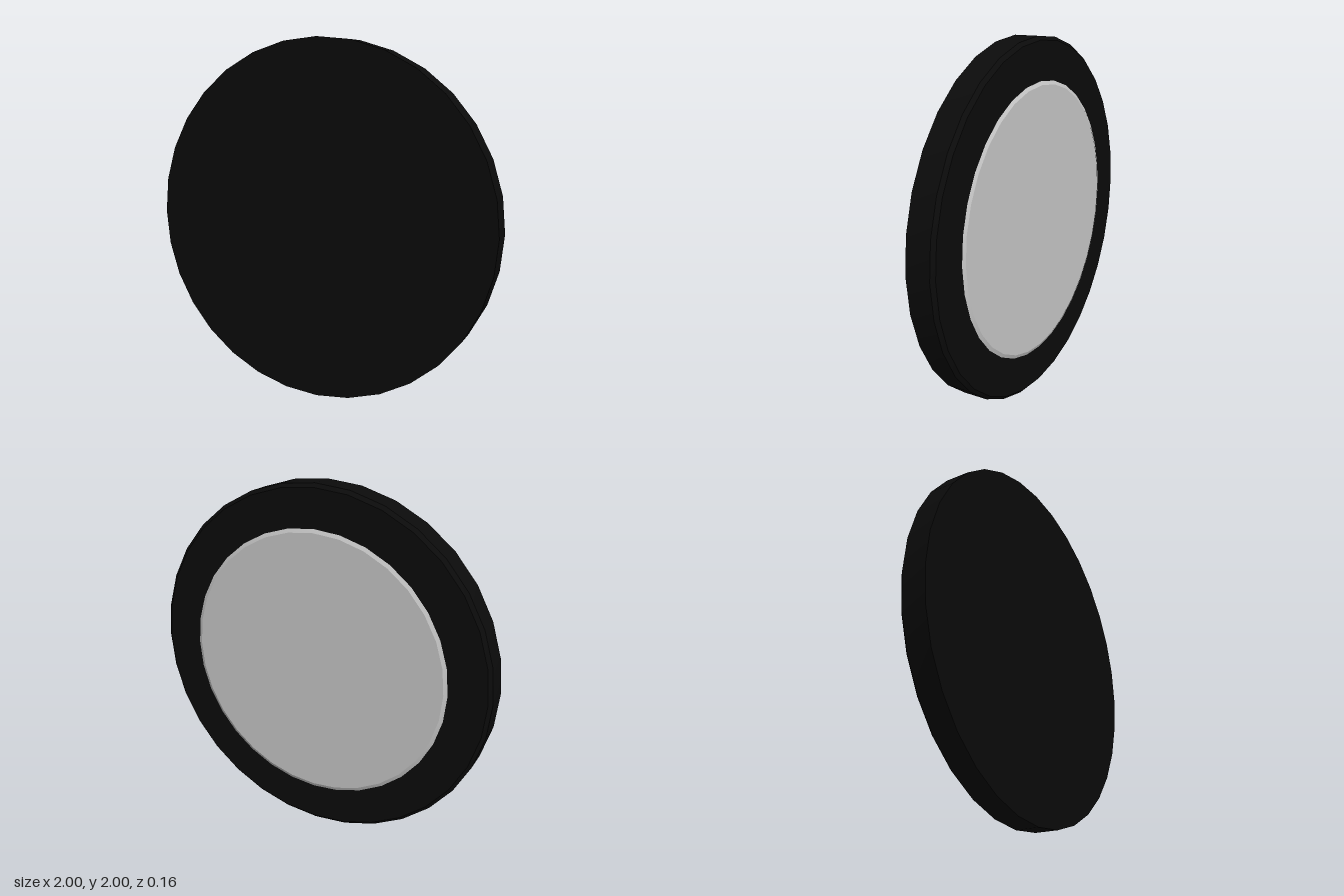
import * as THREE from 'three';
import { toCreasedNormals } from 'three/addons/utils/BufferGeometryUtils.js';

const SIDES = 32;

// Solid of revolution whose axis points to the back; profile is [radius, depth]
function turned(name, profile, color) {
  const points = profile.map(([r, d]) => new THREE.Vector2(r, d));
  const geometry = toCreasedNormals(new THREE.LatheGeometry(points, SIDES), 0.28);
  geometry.rotateX(-Math.PI / 2);
  const mesh = new THREE.Mesh(geometry, new THREE.MeshStandardMaterial({ color }));
  mesh.name = name;
  mesh.position.y = 1;
  return mesh;
}

export function createModel() {
  const group = new THREE.Group();
  group.name = 'disc';

  // Dark body: flat front, chamfered back edge
  group.add(turned('body', [
    [0, -0.08], [1, -0.08], [1, 0.055], [0.98, 0.073], [0, 0.073],
  ], 0x0b0b0b));

  // Slightly raised pale plate on the back, with a bevelled rim
  group.add(turned('backPlate', [
    [0, 0.06], [0.77, 0.06], [0.77, 0.073], [0.75, 0.081], [0, 0.081],
  ], 0xcccccc));

  return group;
}
